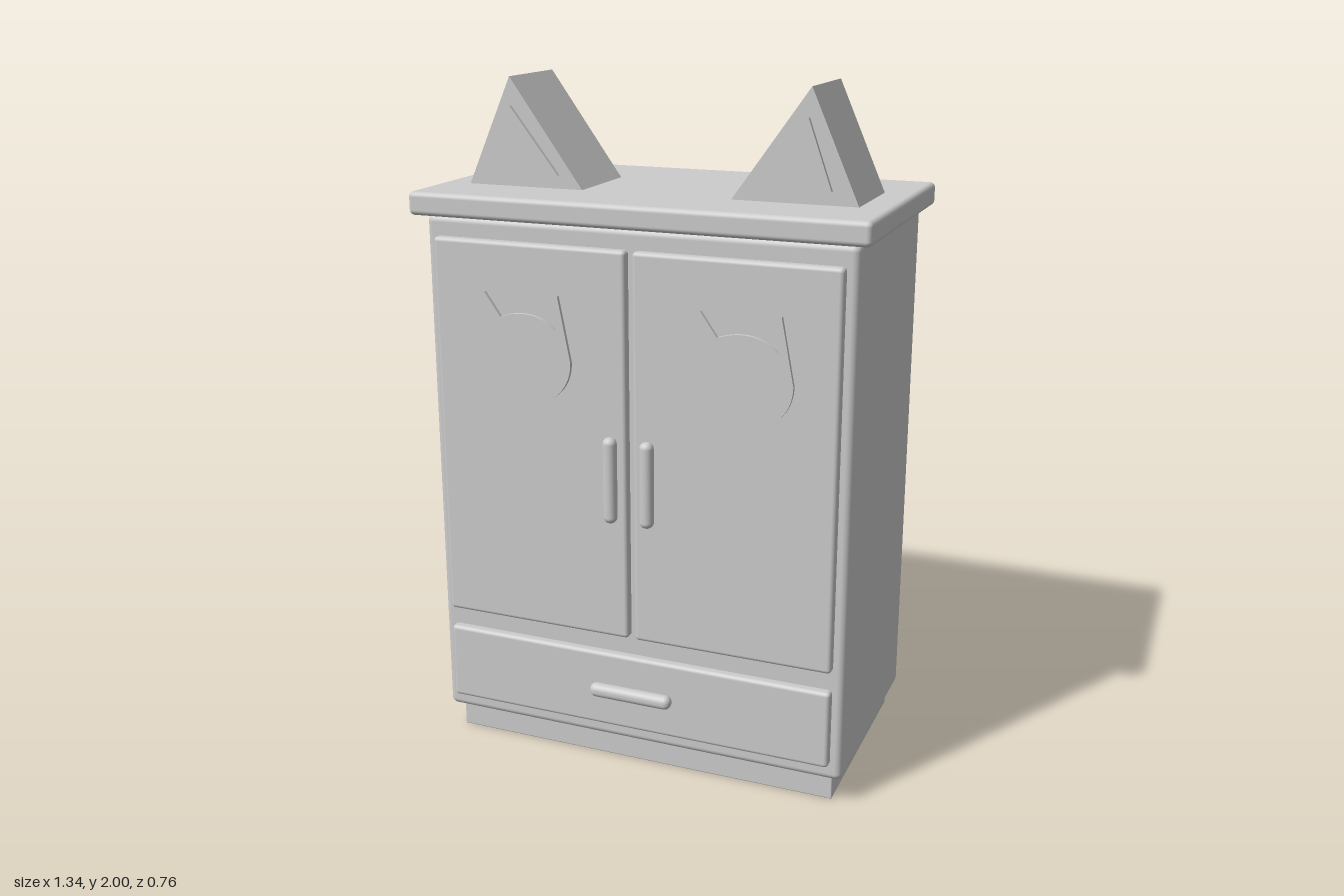
import * as THREE from 'three';
import { RoundedBoxGeometry } from 'three/addons/geometries/RoundedBoxGeometry.js';

export function createModel() {
  const group = new THREE.Group();
  const paint = new THREE.MeshStandardMaterial({ color: 0xcccccc });
  paint.name = 'pale grey';

  const add = (name, geometry) => {
    const mesh = new THREE.Mesh(geometry, paint);
    mesh.name = name;
    group.add(mesh);
    return mesh;
  };

  // Rounded box given by its limits on each axis
  const slab = (name, [x0, x1], [y0, y1], [z0, z1], radius) =>
    add(name, new RoundedBoxGeometry(x1 - x0, y1 - y0, z1 - z0, 4, radius))
      .position.set((x0 + x1) / 2, (y0 + y1) / 2, (z0 + z1) / 2);

  // Flat outline extruded from z0 to z1
  const plate = (name, shape, z0, z1) => {
    const mesh = add(name, new THREE.ExtrudeGeometry(shape,
      { depth: z1 - z0, bevelEnabled: false, curveSegments: 24 }));
    mesh.position.z = z0;
    return mesh;
  };
  const triangle = (side, points) =>
    new THREE.Shape(points.map(([x, y]) => new THREE.Vector2(x * side, y)));

  // Carcass
  slab('plinth', [-0.6, 0.6], [0, 0.1], [-0.335, 0.29], 0.004);
  slab('cabinetBody', [-0.633, 0.633], [0.08, 1.625], [-0.35, 0.322], 0.02);
  slab('topBoard', [-0.67, 0.67], [1.625, 1.692], [-0.378, 0.358], 0.015);

  // Drawer with its pull
  slab('drawerFront', [-0.6, 0.6], [0.13, 0.365], [0.29, 0.348], 0.012);
  slab('drawerHandle', [-0.128, 0.128], [0.227, 0.269], [0.338, 0.378], 0.019);

  // Cat head outline, relative to its centre
  const head = new THREE.Shape();
  head.moveTo(-0.111, 0.19);
  head.lineTo(-0.107, 0.095);
  head.bezierCurveTo(-0.14, 0.065, -0.152, 0.035, -0.152, 0);
  head.bezierCurveTo(-0.152, -0.075, -0.08, -0.127, 0, -0.127);
  head.bezierCurveTo(0.085, -0.127, 0.152, -0.075, 0.152, 0.008);
  head.lineTo(0.116, 0.194);
  head.lineTo(0.108, 0.095);
  head.bezierCurveTo(0.06, 0.142, 0, 0.145, -0.063, 0.122);
  head.closePath();

  for (const side of [-1, 1]) {
    const label = side > 0 ? 'left' : 'right';
    const span = (a, b) => side > 0 ? [a, b] : [-b, -a];

    // Door, handle and head emblem
    slab(label + 'Door', span(0.01, 0.6), [0.424, 1.567], [0.29, 0.348], 0.012);
    slab(label + 'DoorHandle', span(0.036, 0.076), [0.785, 1.04], [0.338, 0.378], 0.019);
    plate(label + 'DoorEmblem', head, 0.34, 0.359).position.set(side * 0.324, 1.235, 0.34);

    // Ear prism with a raised inner triangle
    plate(label + 'Ear', triangle(side, [[0.222, 1.69], [0.582, 1.69], [0.444, 2]]), -0.12, 0.153);
    plate(label + 'InnerEar', triangle(side, [[0.293, 1.73], [0.508, 1.73], [0.44, 1.92]]), 0.14, 0.165);
  }
  return group;
}
